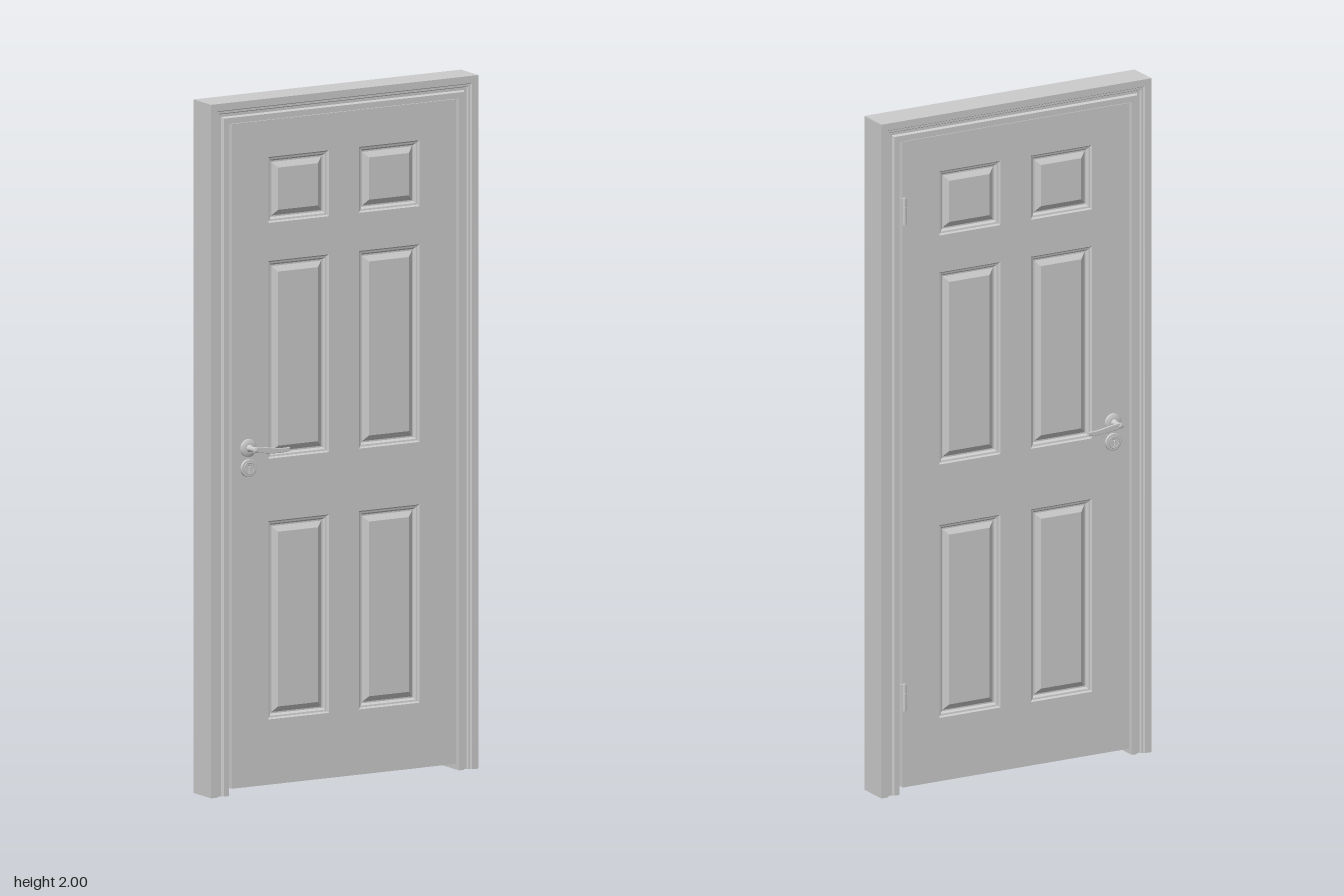
import * as THREE from 'three';

const W = 0.442;      // half width of the frame
const D = 0.0485;     // half depth of the frame
const T = 0.044;      // half thickness of the door leaf
const mat = new THREE.MeshStandardMaterial({ color: 0xcccccc, side: THREE.DoubleSide });

function add(parent, name, geometry, x = 0, y = 0, z = 0) {
  const mesh = new THREE.Mesh(geometry, mat);
  mesh.name = name;
  mesh.position.set(x, y, z);
  parent.add(mesh);
  return mesh;
}

function flatGeometry(triangles) {
  const g = new THREE.BufferGeometry().setFromPoints(triangles);
  g.computeVertexNormals();
  return g;
}

function quad(out, a, b, c, d) {
  out.push(a, b, c, a, c, d);
}

function rectPath(Type, x0, y0, x1, y1) {
  const p = new Type();
  p.moveTo(x0, y0).lineTo(x1, y0).lineTo(x1, y1).lineTo(x0, y1).closePath();
  return p;
}

// Moulded frame: one profile mitred up, across and down
function frameGeometry() {
  const half = [
    [0, D], [0.021, D], [0.024, 0.042], [0.03, 0.042], [0.033, 0.036],
    [0.041, 0.036], [0.045, 0.044], [0.062, 0.044],
  ];
  const back = half.map(([d, z]) => [d, -z]).reverse();
  const profile = [...half, ...back];
  const station = (k) => profile.map(([d, z]) => {
    const x = (W - d) * (k < 2 ? -1 : 1);
    return new THREE.Vector3(x, k === 0 || k === 3 ? 0 : 2 - d, z);
  });
  const rings = [0, 1, 2, 3].map(station);
  const out = [];
  const n = profile.length;
  for (let k = 0; k < 3; k++) {
    for (let j = 0; j < n; j++) {
      const m = (j + 1) % n;
      quad(out, rings[k][j], rings[k][m], rings[k + 1][m], rings[k + 1][j]);
    }
  }
  // feet of the two jambs
  const faces = THREE.ShapeUtils.triangulateShape(profile.map(([d, z]) => new THREE.Vector2(d, z)), []);
  for (const [a, b, c] of faces) {
    out.push(rings[0][a], rings[0][b], rings[0][c]);
    out.push(rings[3][a], rings[3][c], rings[3][b]);
  }
  return flatGeometry(out);
}

// Raised panel: moulded rim, groove, bevel and flat field
function panelGeometry(w, h) {
  const steps = [[0, 0], [0.004, -0.005], [0.009, -0.006], [0.014, -0.013], [0.018, -0.013], [0.034, -0.003]];
  const rings = steps.map(([inset, z]) => {
    const x = w / 2 - inset, y = h / 2 - inset;
    return [[-x, -y], [x, -y], [x, y], [-x, y]].map(([a, b]) => new THREE.Vector3(a, b, z));
  });
  const out = [];
  for (let k = 0; k + 1 < rings.length; k++) {
    for (let i = 0; i < 4; i++) {
      const j = (i + 1) % 4;
      quad(out, rings[k][i], rings[k][j], rings[k + 1][j], rings[k + 1][i]);
    }
  }
  quad(out, ...rings[rings.length - 1]);
  return flatGeometry(out);
}

function buildDoor() {
  const door = new THREE.Group();
  door.name = 'door';
  const leaf = rectPath(THREE.Shape, -0.37, 0.02, 0.37, 1.937);
  for (const [y0, y1] of [[1.64, 1.83], [0.96, 1.53], [0.208, 0.78]]) {
    for (const side of [-1, 1]) {
      const cx = side * 0.15, w = 0.2;
      leaf.holes.push(rectPath(THREE.Path, cx - w / 2, y0, cx + w / 2, y1));
      const g = panelGeometry(w, y1 - y0);
      add(door, 'frontPanel', g, cx, (y0 + y1) / 2, T);
      add(door, 'backPanel', g, cx, (y0 + y1) / 2, -T).rotation.y = Math.PI;
    }
  }
  add(door, 'leaf', new THREE.ExtrudeGeometry(leaf, { depth: 2 * T, bevelEnabled: false }), 0, 0, -T);
  return door;
}

// Turned part with its axis along z
function turned(points) {
  const g = new THREE.LatheGeometry(points.map(([r, z]) => new THREE.Vector2(r, z)), 28);
  return g.rotateX(Math.PI / 2);
}

function buildHandle() {
  const handle = new THREE.Group();
  handle.name = 'handle';
  const x = -0.317;
  add(handle, 'rose', turned([
    [0.026, 0], [0.026, 0.004], [0.024, 0.0065], [0.017, 0.0075], [0.015, 0.009], [0, 0.009],
  ]), x, 0.998, T);
  add(handle, 'neck', turned([
    [0.011, 0.008], [0.008, 0.016], [0.007, 0.03], [0.0075, 0.046], [0.005, 0.049], [0, 0.049],
  ]), x, 0.998, T);

  // gently waved, tapering lever
  const lever = new THREE.Shape();
  lever.moveTo(-0.007, -0.005);
  lever.bezierCurveTo(0.03, -0.008, 0.06, -0.017, 0.107, -0.01);
  lever.lineTo(0.107, -0.002);
  lever.bezierCurveTo(0.07, -0.006, 0.04, 0.007, -0.002, 0.008);
  lever.quadraticCurveTo(-0.009, 0.004, -0.007, -0.005);
  const g = new THREE.ExtrudeGeometry(lever, {
    depth: 0.004, bevelThickness: 0.0015, bevelSize: 0.0015, bevelSegments: 2, curveSegments: 10,
  });
  add(handle, 'lever', g, x, 0.998, 0.0855).rotation.y = -0.035;

  // escutcheon with a keyhole
  const plate = new THREE.Shape().absarc(0, 0, 0.0235, 0, Math.PI * 2, false);
  const key = new THREE.Path();
  key.moveTo(-0.003, -0.012).lineTo(0.003, -0.012).lineTo(0.003, 0.003);
  key.absarc(0, 0.006, 0.0045, -0.7, Math.PI + 0.7, false);
  key.closePath();
  plate.holes.push(key);
  add(handle, 'escutcheon', new THREE.ExtrudeGeometry(plate, {
    depth: 0.005, bevelThickness: 0.002, bevelSize: 0.002, bevelSegments: 2, curveSegments: 16,
  }), x, 0.94, T);
  add(handle, 'escutcheonRim', new THREE.TorusGeometry(0.0165, 0.002, 6, 28), x, 0.94, T + 0.0065);
  return handle;
}

function buildHinge(y) {
  const hinge = new THREE.Group();
  hinge.name = 'hinge';
  for (let i = -1; i <= 1; i++) {
    add(hinge, 'knuckle', new THREE.CylinderGeometry(0.006, 0.006, 0.025, 16), 0, i * 0.026, 0);
  }
  add(hinge, 'pin', new THREE.CylinderGeometry(0.0045, 0.0045, 0.08, 12));
  for (const dx of [-0.0035, 0.0065]) {
    add(hinge, 'hingeLeaf', new THREE.BoxGeometry(0.002, 0.077, 0.035), dx, 0, 0.018);
  }
  hinge.position.set(0.37, y, -0.0535);
  return hinge;
}

export function createModel() {
  const model = new THREE.Group();
  model.name = 'panelDoor';
  add(model, 'frame', frameGeometry());
  model.add(buildDoor());
  const back = buildHandle();
  back.scale.z = -1;
  model.add(buildHandle(), back);
  for (const y of [1.733, 0.29]) model.add(buildHinge(y));
  return model;
}
